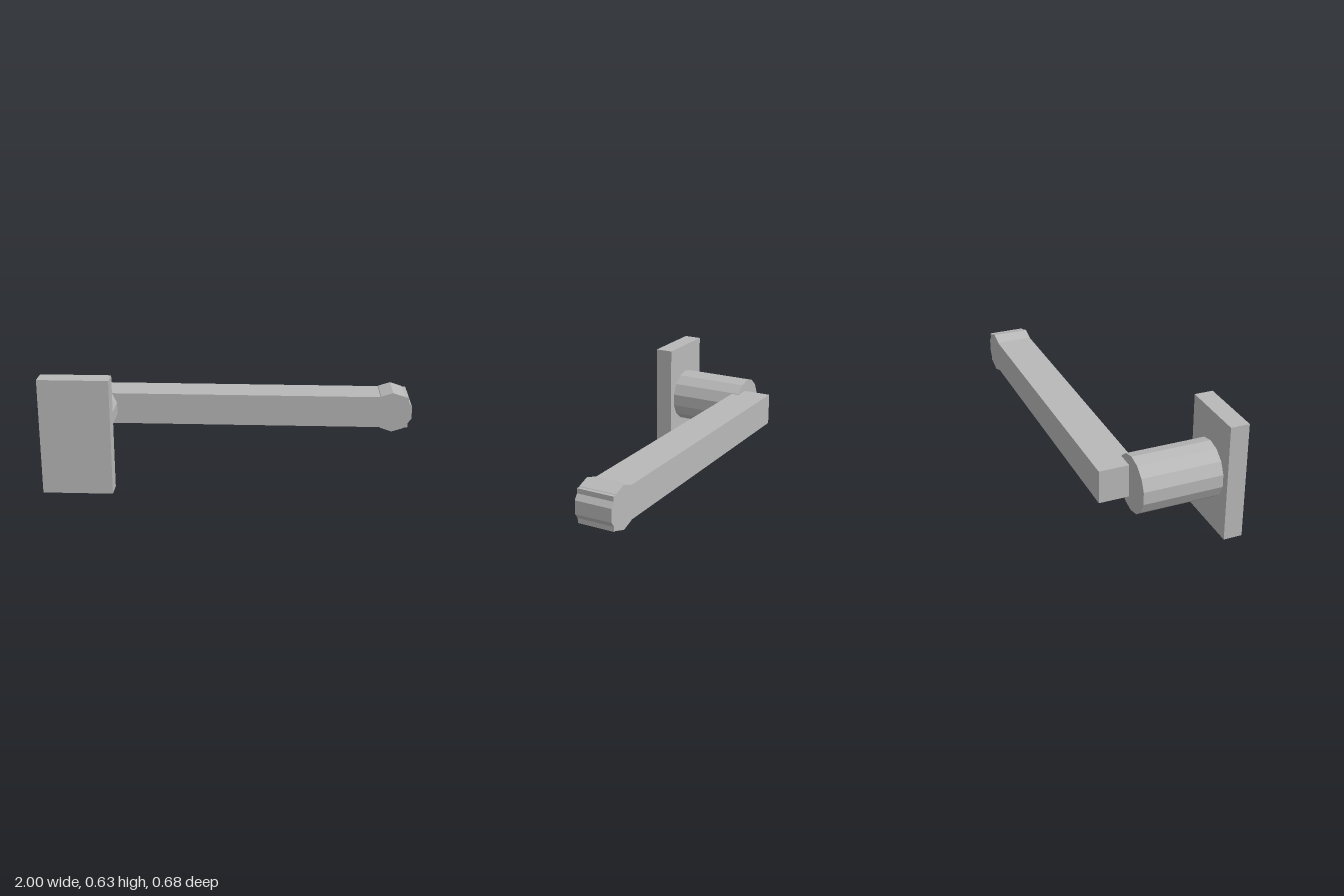
import * as THREE from 'three';

export function createModel() {
  const model = new THREE.Group();
  const metal = new THREE.MeshStandardMaterial({ color: 0xb8b8b8, flatShading: true });
  metal.name = 'grey metal';

  // Box given by its minimum and maximum corners
  const box = (name, [x0, y0, z0], [x1, y1, z1]) => {
    const mesh = new THREE.Mesh(new THREE.BoxGeometry(x1 - x0, y1 - y0, z1 - z0), metal);
    mesh.name = name;
    mesh.position.set((x0 + x1) / 2, (y0 + y1) / 2, (z0 + z1) / 2);
    model.add(mesh);
  };

  // Faceted cylinder along z, with a corner pointing straight up
  const prism = (name, x, y, z0, z1, radius, sides) => {
    const geometry = new THREE.CylinderGeometry(radius, radius, z1 - z0, sides).rotateX(Math.PI / 2);
    const mesh = new THREE.Mesh(geometry, metal);
    mesh.name = name;
    mesh.position.set(x, y, (z0 + z1) / 2);
    model.add(mesh);
  };

  // Mounting plate and the spindle joining it to the lever
  box('mountingPlate', [-1, 0, 0.24], [-0.625, 0.632, 0.34]);
  prism('spindle', -0.81, 0.316, -0.182, 0.24, 0.151, 14);

  // Lever arm with its rounded end
  box('leverArm', [-0.785, 0.228, -0.34], [0.979, 0.406, -0.139]);
  prism('leverEnd', 0.891, 0.317, -0.34, -0.139, 0.114, 10);

  return model;
}
